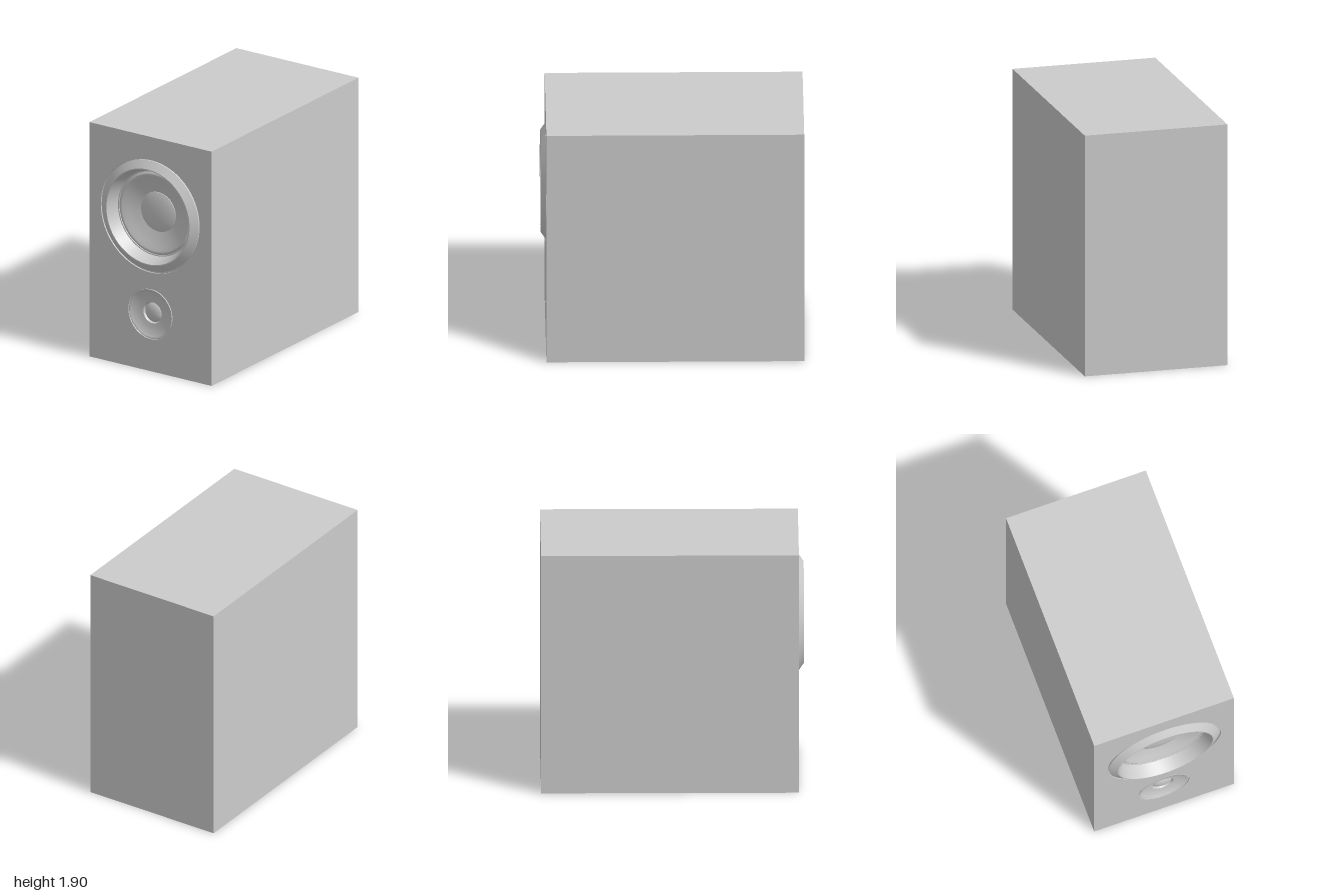
import * as THREE from 'three';
import { toCreasedNormals } from 'three/addons/utils/BufferGeometryUtils.js';

const W = 1.13, H = 1.9, BACK = -1, FRONT = 0.96;
const WOOFER = { y: 1.26, r: 0.46 };
const TWEETER = { y: 0.465, r: 0.205 };
const material = new THREE.MeshStandardMaterial({ color: 0xcccccc });

function addMesh(group, name, geometry) {
  const mesh = new THREE.Mesh(geometry, material);
  mesh.name = name;
  group.add(mesh);
  return mesh;
}

// Turned part facing +z; profile is [radius, height above baffle], outer to inner
function addTurned(group, name, profile, y) {
  const points = profile.map(([r, h]) => new THREE.Vector2(r, h));
  const geometry = toCreasedNormals(new THREE.LatheGeometry(points, 80), 0.5);
  geometry.rotateX(Math.PI / 2);
  addMesh(group, name, geometry).position.set(0, y, FRONT);
}

// Smooth run of profile points through a few control points
function smooth(controls, n) {
  const curve = new THREE.SplineCurve(controls.map(([r, h]) => new THREE.Vector2(r, h)));
  return curve.getPoints(n).map((p) => [Math.max(p.x, 0), p.y]);
}

export function createModel() {
  const model = new THREE.Group();
  model.name = 'loudspeaker';

  // Cabinet: a box left open at the front, where the baffle closes it
  const box = new THREE.BoxGeometry(W, H, FRONT - BACK);
  const index = Array.from(box.index.array);
  index.splice(24, 6);
  box.setIndex(index);
  box.clearGroups();
  addMesh(model, 'cabinet', box).position.set(0, H / 2, (FRONT + BACK) / 2);

  // Baffle with a round opening for each driver
  const face = new THREE.Shape();
  face.moveTo(-W / 2, 0).lineTo(W / 2, 0).lineTo(W / 2, H).lineTo(-W / 2, H).closePath();
  for (const d of [WOOFER, TWEETER]) {
    face.holes.push(new THREE.Path().absarc(0, d.y, d.r, 0, Math.PI * 2, true));
  }
  addMesh(model, 'baffle', new THREE.ShapeGeometry(face, 40)).position.z = FRONT;

  // Woofer: seating groove, raised bevelled rim and steep inner wall
  addTurned(model, 'wooferRim', [
    [0.46, 0], [0.46, -0.012], [0.446, -0.012], [0.446, 0.0],
    [0.388, 0.04], [0.38, 0.04], [0.342, -0.06], [0.334, -0.06],
  ], WOOFER.y);

  // Woofer: rolled surround, sloping cone and shallow dust cap
  addTurned(model, 'wooferCone', [
    [0.334, -0.06],
    ...smooth([[0.332, -0.066], [0.315, -0.057], [0.295, -0.062], [0.23, -0.085], [0.16, -0.105]], 20),
    ...smooth([[0.158, -0.102], [0.12, -0.092], [0.06, -0.084], [0, -0.082]], 10),
  ], WOOFER.y);

  // Tweeter: seating groove and shallow flared dish
  addTurned(model, 'tweeterDish', [
    [0.205, 0], [0.205, -0.01], [0.196, -0.01], [0.196, -0.001],
    ...smooth([[0.192, -0.001], [0.17, -0.011], [0.13, -0.022], [0.085, -0.028]], 10),
  ], TWEETER.y);

  // Tweeter: small dome set behind a short step
  addTurned(model, 'tweeterDome', [
    [0.085, -0.028], [0.079, -0.045],
    ...smooth([[0.077, -0.045], [0.06, -0.034], [0.03, -0.026], [0, -0.024]], 10),
  ], TWEETER.y);

  return model;
}
